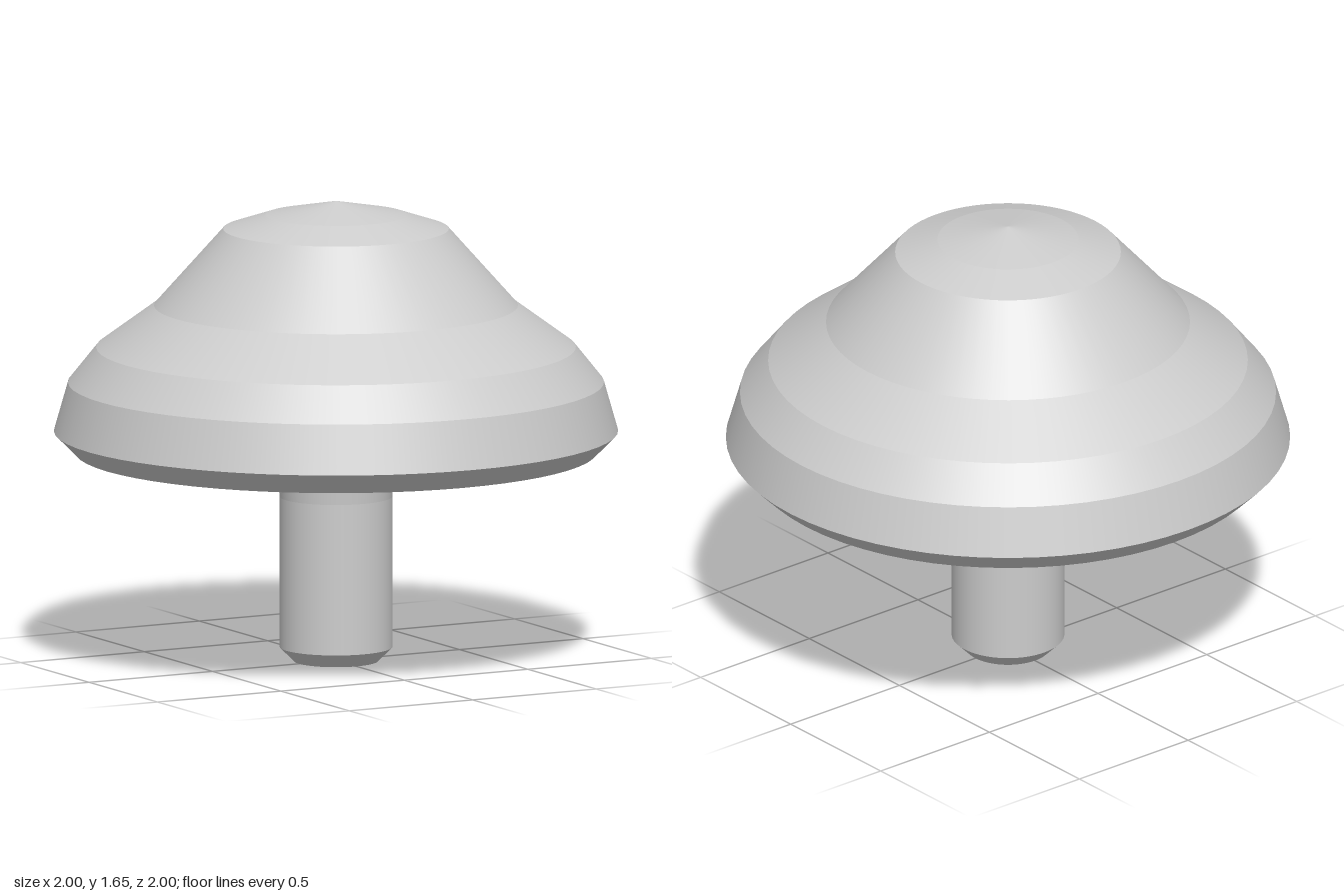
import * as THREE from 'three';
import { mergeGeometries } from 'three/addons/utils/BufferGeometryUtils.js';

const SEGMENTS = 64;

// Lathe one band per profile segment: smooth around, crisp between bands
function bandedLathe(profile) {
  const bands = [];
  for (let i = 0; i < profile.length - 1; i++) {
    const pair = [profile[i], profile[i + 1]].map(([r, y]) => new THREE.Vector2(r, y));
    bands.push(new THREE.LatheGeometry(pair, SEGMENTS));
  }
  return mergeGeometries(bands);
}

export function createModel() {
  const model = new THREE.Group();
  model.name = 'mushroomKnob';

  const grey = new THREE.MeshStandardMaterial({ color: 0xcccccc });
  grey.name = 'light grey';

  const addPart = (name, profile) => {
    const mesh = new THREE.Mesh(bandedLathe(profile), grey);
    mesh.name = name;
    model.add(mesh);
  };

  // Hollow cap: inner ceiling, down the underside to the rim, then up the outside
  addPart('cap', [
    [0, 1.25], [0.35, 1.25], [0.7, 0.94], [0.85, 0.855], [0.925, 0.75],
    [1, 0.825], [0.95, 1], [0.85, 1.125], [0.645, 1.275],
    [0.4, 1.55], [0.25, 1.6], [0, 1.65],
  ]);

  // Stem: chamfered foot, flared shoulder and a pinched neck inside the cap
  addPart('stem', [
    [0, 0], [0.15, 0], [0.2, 0.05], [0.2, 0.59], [0.225, 0.9],
    [0.175, 1], [0.197, 1.09], [0.197, 1.25],
  ]);

  return model;
}
